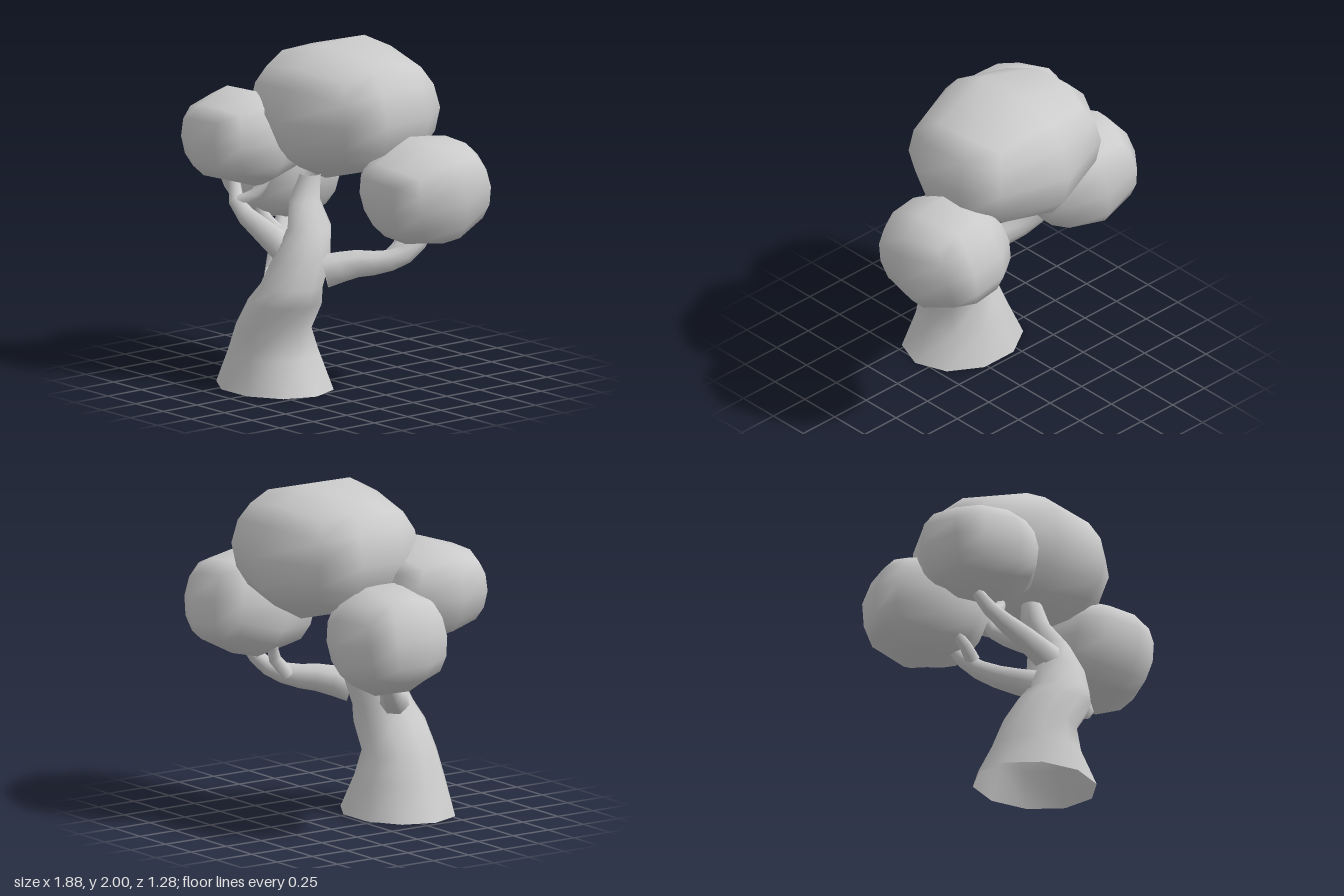
import * as THREE from 'three';
import { mergeVertices } from 'three/addons/utils/BufferGeometryUtils.js';

const material = new THREE.MeshStandardMaterial({ color: 0xcccccc, side: THREE.DoubleSide });

// Join seams so that the shading runs smoothly over the whole part
function smooth(geometry) {
  geometry.deleteAttribute('uv');
  geometry.deleteAttribute('normal');
  const merged = mergeVertices(geometry, 1e-4);
  merged.computeVertexNormals();
  return merged;
}

function addPart(group, name, geometry) {
  const mesh = new THREE.Mesh(geometry, material);
  mesh.name = name;
  group.add(mesh);
}

// Rounded low-poly foliage: a gridded box bulged out, tilted, then fitted between two corners
function foliage(min, max, segments, tilt, power) {
  const geometry = new THREE.BoxGeometry(2, 2, 2, ...segments);
  const pos = geometry.attributes.position;
  const p = new THREE.Vector3();
  for (let i = 0; i < pos.count; i++) {
    p.fromBufferAttribute(pos, i);
    const length = ['x', 'y', 'z'].reduce((sum, k) => sum + Math.abs(p[k]) ** power, 0) ** (1 / power);
    p.divideScalar(length);
    pos.setXYZ(i, p.x, p.y, p.z);
  }
  geometry.rotateX(tilt[0]).rotateY(tilt[1]).rotateZ(tilt[2]);
  geometry.computeBoundingBox();
  const size = geometry.boundingBox.getSize(new THREE.Vector3());
  geometry.center();
  geometry.scale(...max.map((m, i) => (m - min[i]) / size.getComponent(i)));
  geometry.translate(...max.map((m, i) => (m + min[i]) / 2));
  return smooth(geometry);
}

// Trunk from level rings, each [y, x min, x max, z min, z max], top first; flats face front and back
function trunk(rings, sides = 10) {
  const geometry = new THREE.CylinderGeometry(1, 1, 1, sides, rings.length - 1, true, Math.PI / sides);
  const pos = geometry.attributes.position;
  const flat = Math.cos(Math.PI / sides);
  for (let i = 0; i < pos.count; i++) {
    const [y, x0, x1, z0, z1] = rings[Math.floor(i / (sides + 1))];
    pos.setXYZ(i,
      (x0 + x1) / 2 + pos.getX(i) * (x1 - x0) / 2,
      y,
      (z0 + z1) / 2 + pos.getZ(i) / flat * (z1 - z0) / 2);
  }
  return smooth(geometry);
}

// Tapering tube through a few points
function branch(points, startRadius, endRadius, segments = 5, sides = 7) {
  const curve = new THREE.CatmullRomCurve3(points.map((p) => new THREE.Vector3(...p)));
  const geometry = new THREE.TubeGeometry(curve, segments, 1, sides);
  const pos = geometry.attributes.position;
  const p = new THREE.Vector3();
  for (let i = 0; i < pos.count; i++) {
    const t = Math.floor(i / (sides + 1)) / segments;
    const centre = curve.getPointAt(t);
    p.fromBufferAttribute(pos, i).sub(centre);
    p.multiplyScalar(THREE.MathUtils.lerp(startRadius, endRadius, t)).add(centre);
    pos.setXYZ(i, p.x, p.y, p.z);
  }
  return smooth(geometry);
}

export function createModel() {
  const tree = new THREE.Group();
  tree.name = 'tree';

  // Bent trunk with a flared foot, open underneath
  addPart(tree, 'trunk', trunk([
    [1.24, -0.07, 0.05, 0.08, 0.20],
    [1.09, -0.09, 0.07, 0.09, 0.28],
    [0.95, -0.04, 0.18, 0.08, 0.35],
    [0.78, -0.09, 0.24, 0.11, 0.44],
    [0.62, -0.13, 0.24, 0.16, 0.51],
    [0.52, -0.21, 0.24, 0.15, 0.555],
    [0.36, -0.31, 0.14, 0.14, 0.565],
    [0.20, -0.37, 0.17, 0.08, 0.60],
    [0, -0.47, 0.28, 0.03, 0.64],
  ]));

  // Branches and their twigs
  addPart(tree, 'leftBranch', branch(
    [[0.20, 0.71, 0.21], [0.30, 0.75, 0.07], [0.42, 0.765, -0.06], [0.52, 0.83, -0.18], [0.55, 0.95, -0.28]], 0.1, 0.035, 7));
  addPart(tree, 'leftTwig', branch(
    [[0.40, 0.77, -0.08], [0.44, 0.86, -0.15], [0.41, 0.97, -0.19]], 0.045, 0.03, 4));
  addPart(tree, 'frontBranch', branch(
    [[0.02, 0.81, 0.33], [-0.20, 0.92, 0.36], [-0.39, 1.02, 0.37], [-0.47, 1.14, 0.33]], 0.09, 0.035));
  addPart(tree, 'frontTwig', branch(
    [[-0.38, 1.04, 0.36], [-0.31, 1.09, 0.30], [-0.28, 1.18, 0.25]], 0.04, 0.03, 4));
  addPart(tree, 'rightBranch', branch(
    [[-0.08, 0.65, 0.32], [-0.25, 0.72, 0.18], [-0.38, 0.82, 0.06], [-0.45, 0.95, -0.03]], 0.09, 0.035));
  addPart(tree, 'rightTwig', branch(
    [[-0.37, 0.83, 0.09], [-0.43, 0.89, 0.12], [-0.50, 0.97, 0.12]], 0.045, 0.03, 4));
  addPart(tree, 'backBranch', branch(
    [[-0.01, 0.99, 0.16], [-0.12, 1.04, 0.07], [-0.19, 1.12, -0.02], [-0.21, 1.25, -0.06]], 0.07, 0.03));

  // Foliage masses
  addPart(tree, 'crownFoliage', foliage([-0.57, 1.2, -0.64], [0.56, 2, 0.41], [2, 4, 3], [0.03, 0.04, 0], 1.95));
  addPart(tree, 'leftFoliage', foliage([0.22, 0.88, -0.59], [0.94, 1.51, 0.13], [3, 4, 2], [0.18, 0.06, -0.1], 2.2));
  addPart(tree, 'frontFoliage', foliage([-0.82, 1.12, -0.03], [-0.07, 1.69, 0.6], [3, 4, 2], [0, 0, 0.06], 2.15));
  addPart(tree, 'rightFoliage', foliage([-0.94, 0.85, -0.44], [-0.22, 1.48, 0.25], [2, 4, 3], [0, -0.14, -0.15], 2.15));

  return tree;
}
